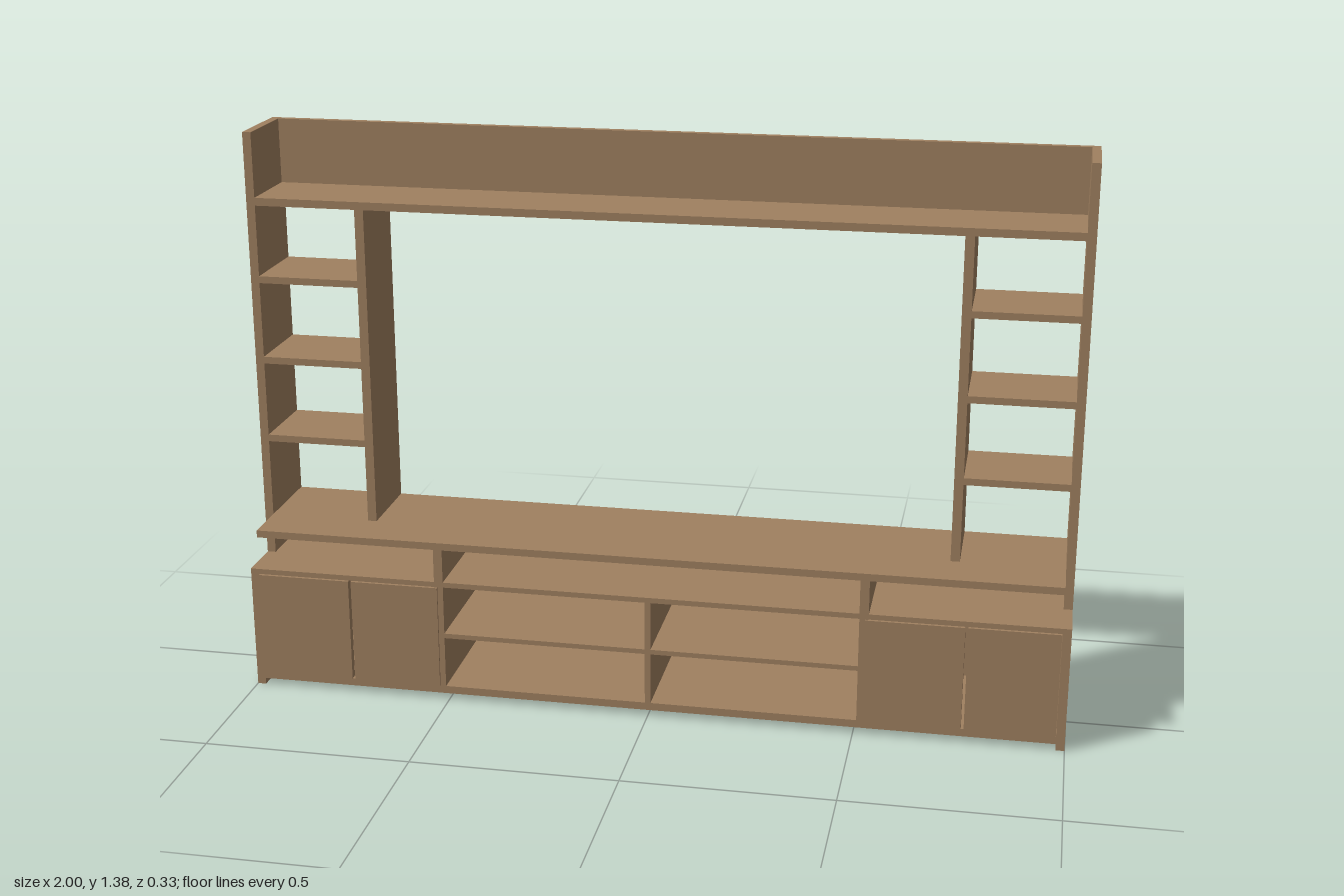
import * as THREE from 'three';

const BACK = -0.163, FRONT = 0.158, UPPER_FRONT = 0.041;
const T = 0.021; // board thickness
const SIDE = 1 - T; // inner face of the side panels

export function createModel() {
  const model = new THREE.Group();
  model.name = 'mediaWallUnit';
  const wood = new THREE.MeshStandardMaterial({ color: 0xa08060 });
  wood.name = 'walnutWood';

  // A board given by its extents on each axis
  function board(name, x0, x1, y0, y1, z0, z1) {
    const mesh = new THREE.Mesh(new THREE.BoxGeometry(x1 - x0, y1 - y0, z1 - z0), wood);
    mesh.position.set((x0 + x1) / 2, (y0 + y1) / 2, (z0 + z1) / 2);
    mesh.name = name;
    model.add(mesh);
  }
  // The same board on the left (+x) and the right (-x)
  function pair(name, x0, x1, ...rest) {
    board(name + 'Left', x0, x1, ...rest);
    board(name + 'Right', -x1, -x0, ...rest);
  }

  // Low cabinet
  pair('cabinetSide', SIDE, 1, 0, 0.298, BACK, FRONT);
  board('cabinetTop', -1, 1, 0.298, 0.311, BACK, FRONT);
  board('cabinetBottom', -SIDE, SIDE, 0.016, 0.035, BACK, FRONT);
  board('cabinetBack', -SIDE, SIDE, 0.035, 0.298, BACK, BACK + 0.018);
  pair('cabinetDivider', 0.508, 0.53, 0.035, 0.298, BACK + 0.018, FRONT);
  board('centreDivider', -0.007, 0.007, 0.035, 0.298, BACK + 0.018, FRONT);
  pair('cabinetShelf', 0.007, 0.508, 0.164, 0.176, BACK + 0.018, FRONT);

  // Doors, standing slightly proud of the cabinet
  const doors = [[-0.978, -0.748], [-0.741, -0.522], [0.522, 0.756], [0.763, 0.978]];
  doors.forEach(([x0, x1], i) => board('door' + (i + 1), x0, x1, 0.037, 0.297, 0.145, 0.163));

  // Raised television shelf on two short supports
  pair('shelfSupport', 0.508, 0.53, 0.311, 0.395, BACK, FRONT);
  board('televisionShelf', -SIDE, SIDE, 0.395, 0.413, BACK, FRONT);

  // Upper frame
  pair('upperSide', SIDE, 1, 0.311, 1.378, BACK, UPPER_FRONT);
  pair('upperDivider', 0.709, 0.731, 0.413, 1.201, BACK, UPPER_FRONT);
  board('topShelf', -SIDE, SIDE, 1.201, 1.22, BACK, UPPER_FRONT);
  board('topBackPanel', -SIDE, SIDE, 1.22, 1.378, BACK, BACK + 0.018);

  // Small shelves in the two side columns
  [0.606, 0.807, 1.01].forEach((y, i) =>
    pair('sideShelf' + (i + 1), 0.731, SIDE, y, y + 0.017, BACK, UPPER_FRONT));

  return model;
}
